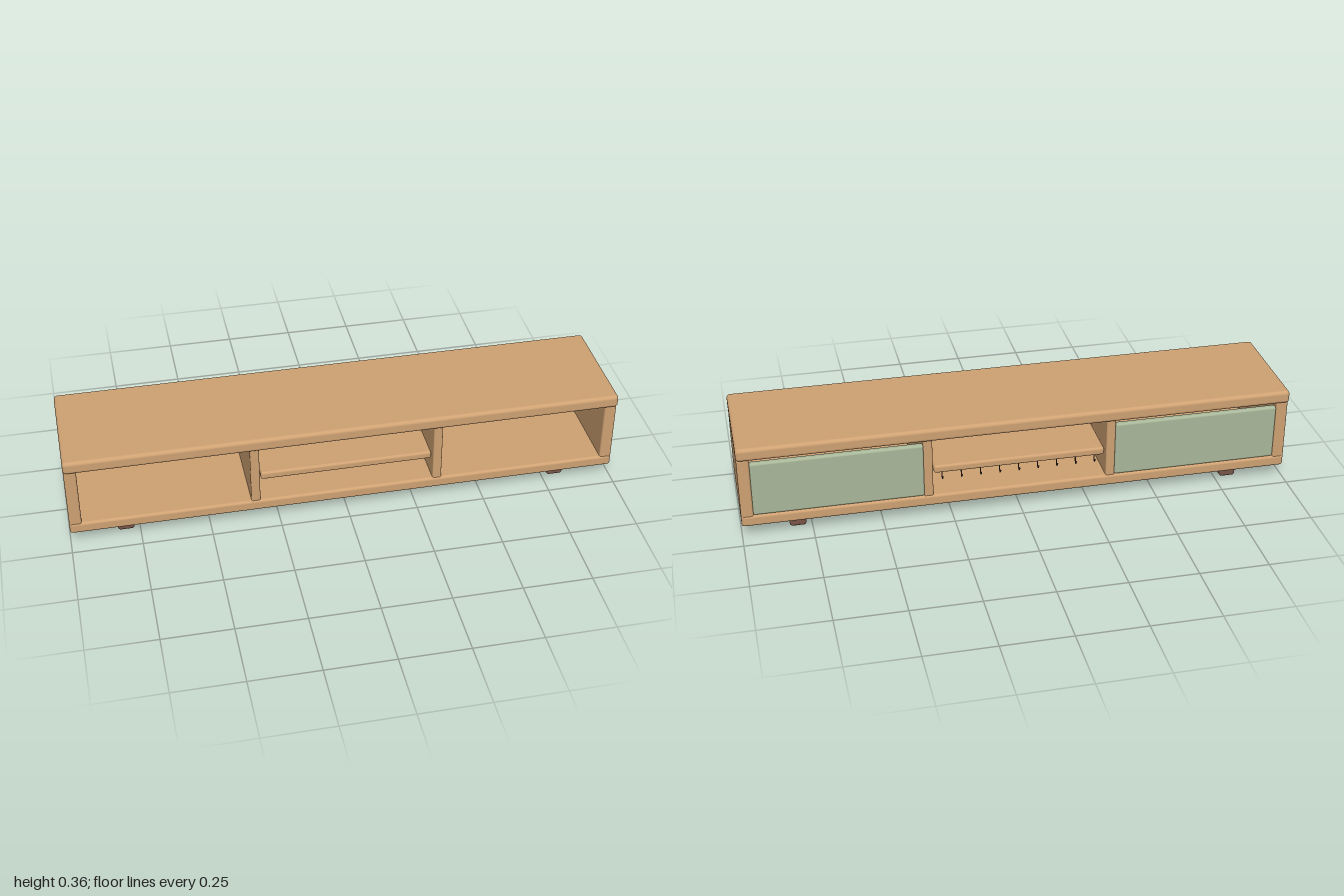
import * as THREE from 'three';
import { RoundedBoxGeometry } from 'three/addons/geometries/RoundedBoxGeometry.js';

const material = (name, color) => new THREE.MeshStandardMaterial({ name, color });

export function createModel() {
  const wood = material('oak wood', 0xcfa273);
  const sage = material('sage green paint', 0xa9b799);
  const brown = material('dark brown wood', 0x795548);
  const iron = material('dark iron', 0x4a3a34);

  const group = new THREE.Group();
  group.name = 'lowSideboard';

  const add = (name, geometry, mat, x = 0, y = 0, z = 0, parent = group) => {
    const mesh = new THREE.Mesh(geometry, mat);
    mesh.name = name;
    mesh.position.set(x, y, z);
    parent.add(mesh);
    return mesh;
  };

  // Rounded board given by its minimum and maximum corners
  const board = (name, mat, [x0, y0, z0], [x1, y1, z1], radius) =>
    add(name, new RoundedBoxGeometry(x1 - x0, y1 - y0, z1 - z0, 3, radius), mat,
      (x0 + x1) / 2, (y0 + y1) / 2, (z0 + z1) / 2);

  // Carcass
  board('topBoard', wood, [-1, 0.314, -0.213], [1, 0.362, 0.213], 0.013);
  board('bottomBoard', wood, [-0.998, 0.048, -0.205], [0.998, 0.09, 0.205], 0.01);
  board('middleShelf', wood, [-0.312, 0.17, -0.19], [0.312, 0.2, 0.19], 0.009);

  for (const [side, s] of [['left', 1], ['right', -1]]) {
    const span = (name, mat, a, b, y0, y1, z0, z1, r) =>
      board(side + name, mat, [Math.min(a * s, b * s), y0, z0], [Math.max(a * s, b * s), y1, z1], r);

    span('SidePanel', wood, 0.955, 0.999, 0.048, 0.316, -0.202, 0.202, 0.008);
    span('Divider', wood, 0.317, 0.35, 0.08, 0.318, -0.2, 0.2, 0.006);
    span('DrawerFront', sage, 0.348, 0.957, 0.088, 0.296, -0.2, -0.175, 0.009);

    // Arched pull on the inner face of the drawer front
    add(side + 'Pull', new THREE.TorusGeometry(0.025, 0.003, 8, 20, Math.PI), wood,
      0.56 * s, 0.225, -0.172);

    // Feet
    for (const [end, z] of [['Front', 0.133], ['Back', -0.133]])
      add(side + end + 'Foot', new RoundedBoxGeometry(0.06, 0.052, 0.06, 3, 0.011), brown,
        0.8 * s, 0.026, z);
  }

  // Row of small hooks under the shelf
  const hooks = new THREE.Group();
  hooks.name = 'hookRow';
  group.add(hooks);
  const hookPath = new THREE.CatmullRomCurve3([
    [0, 0.173, 0], [0, 0.148, 0], [0, 0.139, -0.004], [0, 0.139, -0.01], [0, 0.147, -0.014],
  ].map((p) => new THREE.Vector3(...p)));
  const hookGeometry = new THREE.TubeGeometry(hookPath, 14, 0.002, 6);
  const capGeometry = new THREE.SphereGeometry(0.0035, 8, 6);
  for (let i = 0; i < 9; i++) {
    const x = (i - 4) * 0.07;
    add('hook', hookGeometry, iron, x, 0, -0.168, hooks);
    add('hookTip', capGeometry, iron, x, 0.148, -0.182, hooks);
  }

  return group;
}
